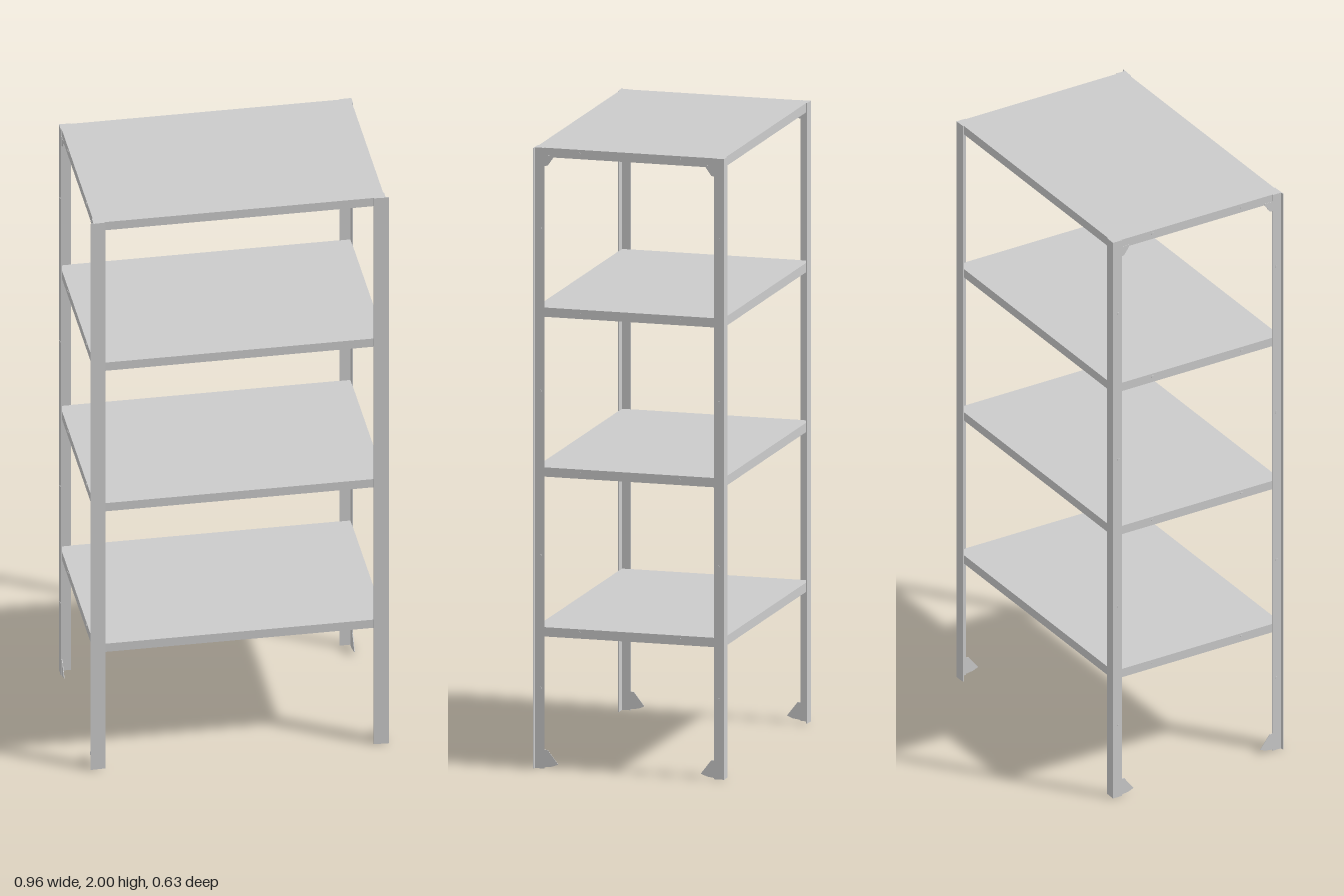
import * as THREE from 'three';

const material = new THREE.MeshStandardMaterial({ color: 0xcccccc, flatShading: true });

const X = 0.468, Z = 0.312; // outer half width and half depth
const T = 0.004; // sheet thickness
const SHELF_TOPS = [2, 1.485, 0.97, 0.455];
const BOLT_HEIGHTS = [1.74, 1.215, 0.685, 0.258];

function add(parent, name, geometry, x = 0, y = 0, z = 0) {
  const mesh = new THREE.Mesh(geometry, material);
  mesh.name = name;
  mesh.position.set(x, y, z);
  parent.add(mesh);
  return mesh;
}

function extrude(points, depth) {
  const shape = new THREE.Shape(points.map(([x, y]) => new THREE.Vector2(x, y)));
  return new THREE.ExtrudeGeometry(shape, { depth, bevelEnabled: false });
}

// Flat bracket in the y-z plane, outline given as [z, y]
function sidePlate(points, thickness) {
  const g = extrude(points, thickness);
  g.rotateY(-Math.PI / 2); // (z, y) outline, thickness towards -x
  return g;
}

function bolt(parent, x, y, z) {
  const g = new THREE.CylinderGeometry(0.005, 0.005, 0.003, 8);
  g.rotateZ(Math.PI / 2);
  add(parent, 'bolt', g, x, y, z);
}

// Open pan: thin top sheet with a folded lip on all four sides
function shelf(top) {
  const group = new THREE.Group();
  group.name = 'shelf';
  const w = 2 * (X - 0.003), d = 2 * (Z - 0.003), h = 0.03;
  add(group, 'shelfTop', new THREE.BoxGeometry(w, T, d), 0, top - T / 2, 0);
  for (const s of [-1, 1]) {
    add(group, 'longLip', new THREE.BoxGeometry(w, h - T, T), 0, top - (h + T) / 2, s * (d - T) / 2);
    add(group, 'shortLip', new THREE.BoxGeometry(T, h - T, d - 2 * T), s * (w - T) / 2, top - (h + T) / 2, 0);
    for (const z of [-0.165, 0.165]) bolt(group, s * (X - 0.003), top - 0.012, z);
  }
  return group;
}

// Angle-iron post; sx and sz pick the corner
function post(sx, sz) {
  const group = new THREE.Group();
  group.name = (sz > 0 ? 'front' : 'back') + (sx > 0 ? 'Left' : 'Right') + 'Post';

  // L section in plan; the front flange runs slightly past the corner
  const outer = sz > 0 ? [[0.478, Z + 0.002], [0.478, Z], [X, Z - 0.002]] : [[X, Z + 0.001]];
  const section = [[0.43, Z], ...outer, [X, 0.28], [X - T, 0.28], [X - T, Z - T], [0.43, Z - T]]
    .map(([x, z]) => [sx * x, -sz * z]);
  const iron = extrude(section, 2);
  iron.rotateX(-Math.PI / 2);
  add(group, 'angleIron', iron);

  const px = sx > 0 ? X - T / 2 : -X + T;
  const flip = (pts) => pts.map(([z, y]) => [sz * z, y]);
  // Foot plate
  add(group, 'footPlate', sidePlate(flip([[0.305, 0], [0.305, 0.04], [0.28, 0.06], [0.27, 0.06], [0.235, 0.015], [0.255, 0.007]]), T / 2), px);
  // Corner gusset under the top shelf
  add(group, 'cornerGusset', sidePlate(flip([[0.285, 1.94], [0.285, 1.975], [0.25, 1.975], [0.252, 1.968], [0.27, 1.943]]), T / 2), px);

  for (const y of BOLT_HEIGHTS) bolt(group, sx * X, y, sz * 0.293);
  return group;
}

export function createModel() {
  const model = new THREE.Group();
  model.name = 'shelvingUnit';
  for (const top of SHELF_TOPS) model.add(shelf(top));
  for (const sx of [-1, 1]) for (const sz of [-1, 1]) model.add(post(sx, sz));
  return model;
}
